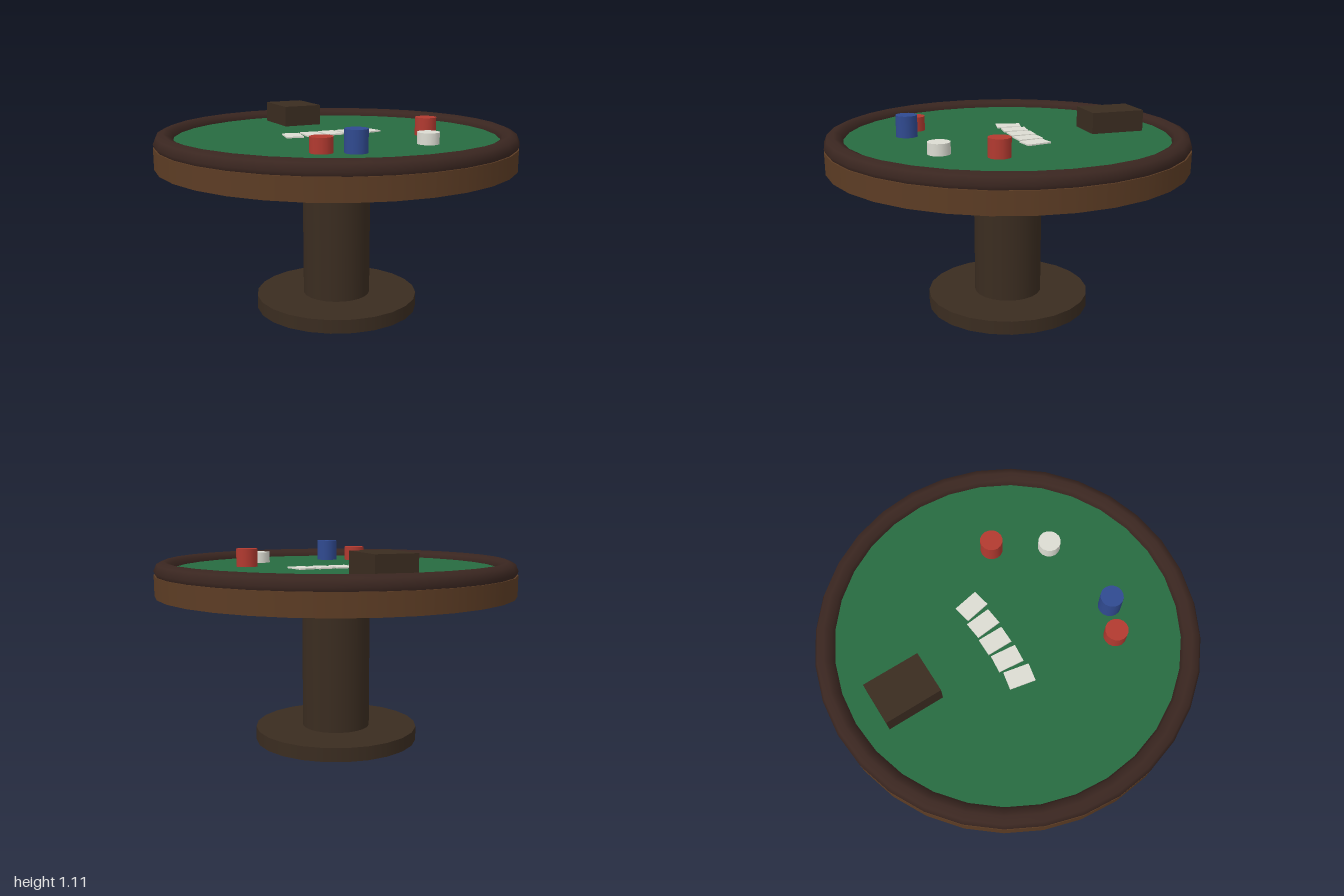
import * as THREE from 'three';

const paint = (color) => new THREE.MeshStandardMaterial({ color });

export function createModel() {
  const table = new THREE.Group();
  table.name = 'cardTable';

  const darkWood = paint(0x3a2c20), wood = paint(0x5c3c24), rimWood = paint(0x3a2620);
  const felt = paint(0x276b40), red = paint(0xb23a30), blue = paint(0x304a90), white = paint(0xdcdcd2);

  const add = (name, geometry, material, x, y, z) => {
    const mesh = new THREE.Mesh(geometry, material);
    mesh.name = name;
    mesh.position.set(x, y, z);
    table.add(mesh);
    return mesh;
  };
  // Upright cylinder given by its bottom and top heights
  const disc = (name, r, y0, y1, sides, material, x = 0, z = 0) =>
    add(name, new THREE.CylinderGeometry(r, r, y1 - y0, sides), material, x, (y0 + y1) / 2, z);

  // Pedestal
  disc('base', 0.4615, 0, 0.077, 24, darkWood);
  disc('column', 0.192, 0.077, 0.77, 24, darkWood);

  // Table top with felt and padded rim
  disc('tableTop', 1, 0.846, 0.9615, 32, wood);
  const feltY = 0.991;
  disc('felt', 0.9, 0.9615, feltY, 32, felt);
  const rim = add('rim', new THREE.TorusGeometry(0.946, 0.054, 8, 32), rimWood, 0, 0.981, 0);
  rim.rotation.x = -Math.PI / 2;

  // Dealer's box at the back
  add('cardBox', new THREE.BoxGeometry(0.23, 0.118, 0.308), darkWood, 0, feltY + 0.059, -0.615);

  // Fanned row of five cards
  for (let i = -2; i <= 2; i++) {
    const card = add('card', new THREE.BoxGeometry(0.096, 0.008, 0.138), white, i * 0.1154, feltY + 0.005, -0.078);
    card.rotation.y = i * 0.1;
  }

  // Chip stacks: x, z, top height, colour
  for (const [x, z, top, color] of [
    [-0.308, 0.4615, 1.072, red],
    [-0.154, 0.535, 1.11, blue],
    [0.308, 0.4615, 1.053, white],
    [0.4615, 0.192, 1.091, red],
  ]) disc('chipStack', 0.06, feltY, top, 16, color, x, z);

  return table;
}
